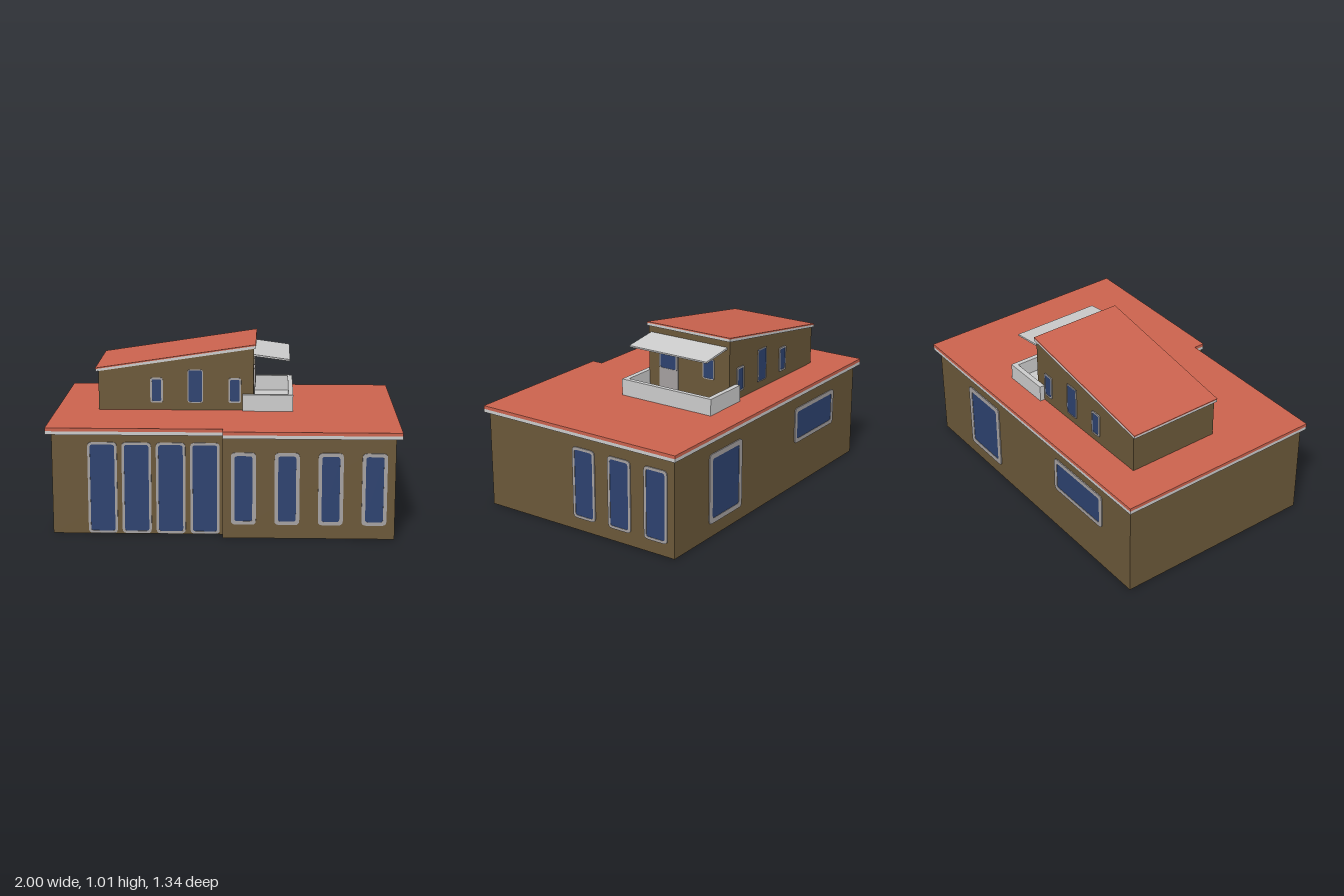
import * as THREE from 'three';

const mat = (name, color, extra = {}) => {
  const m = new THREE.MeshStandardMaterial({ color, ...extra });
  m.name = name;
  return m;
};

export function createModel() {
  const house = new THREE.Group();
  house.name = 'house';
  const wallBrown = mat('wall brown', 0x6b5839, { side: THREE.DoubleSide });
  const roofRed = mat('roof red', 0xcb634e);
  const trimGrey = mat('light grey trim', 0xcccccc);
  const frameGrey = mat('frame grey', 0xa5a1a1);
  const glassBlue = mat('glass blue', 0x2d4270);

  const add = (name, geo, material, parent = house) => {
    const mesh = new THREE.Mesh(geo, material);
    mesh.name = name;
    parent.add(mesh);
    return mesh;
  };
  const polygon = (pts) => new THREE.Shape(pts.map(([x, y]) => new THREE.Vector2(x, y)));
  const extrude = (shape, depth) =>
    new THREE.ExtrudeGeometry(shape, { depth, bevelEnabled: false, curveSegments: 3 });
  // Plan outline given as [x, z], raised from y by h
  const slab = (plan, y, h) =>
    extrude(polygon(plan.map(([x, z]) => [x, -z])), h).rotateX(-Math.PI / 2).translate(0, y, 0);
  // Side outline given as [x, y], running from z0 to z1
  const prism = (side, z0, z1) => extrude(polygon(side), z1 - z0).translate(0, 0, z0);

  const roundRect = (w, h, r, Type = THREE.Shape) => {
    const s = new Type(), a = w / 2, b = h / 2;
    s.moveTo(-a + r, -b);
    s.lineTo(a - r, -b);
    s.quadraticCurveTo(a, -b, a, -b + r);
    s.lineTo(a, b - r);
    s.quadraticCurveTo(a, b, a - r, b);
    s.lineTo(-a + r, b);
    s.quadraticCurveTo(-a, b, -a, b - r);
    s.lineTo(-a, -b + r);
    s.quadraticCurveTo(-a, -b, -a + r, -b);
    return s;
  };

  // Framed window set through a wall; u is along the wall (x, or z on side walls)
  const addWindow = (name, u0, u1, y0, y1, wall, inset, onSide = false) => {
    const g = new THREE.Group();
    g.name = name;
    const w = Math.abs(u1 - u0), h = y1 - y0, r = Math.min(0.025, w * 0.2);
    const ring = roundRect(w, h, r);
    ring.holes.push(roundRect(w - 2 * inset, h - 2 * inset, r * 0.6, THREE.Path));
    add('windowFrame', extrude(ring, 0.012).translate(0, 0, -0.006), frameGrey, g);
    add('windowGlass', new THREE.BoxGeometry(w - inset, h - inset, 0.007), glassBlue, g);
    const u = (u0 + u1) / 2, y = (y0 + y1) / 2;
    if (onSide) {
      g.position.set(wall, y, u);
      g.rotation.y = Math.PI / 2;
    } else g.position.set(u, y, wall);
    house.add(g);
  };

  // Ground floor: thin walls, open underneath, with a step in the front
  const plan = [[-0.965, 0.59], [0, 0.59], [0, 0.655], [0.965, 0.655], [0.965, -0.64], [-0.965, -0.64]];
  plan.forEach(([x0, z0], i) => {
    const [x1, z1] = plan[(i + 1) % plan.length];
    const panel = new THREE.PlaneGeometry(Math.hypot(x1 - x0, z1 - z0), 0.58);
    panel.rotateY(Math.atan2(z0 - z1, x1 - x0)).translate((x0 + x1) / 2, 0.29, (z0 + z1) / 2);
    add('groundFloorWall', panel, wallBrown);
  });

  // Flat roof in two layers
  const roofPlan = [[-1, -0.668], [1, -0.668], [1, 0.667], [0, 0.667], [0, 0.6], [-1, 0.6]];
  add('mainRoofTrim', slab(roofPlan, 0.577, 0.02), trimGrey);
  add('mainRoof', slab(roofPlan, 0.597, 0.019), roofRed);

  // Ground floor windows
  for (let i = 0; i < 4; i++) {
    const a = -0.763 + i * 0.193;
    addWindow('frontGlassDoor', a, a + 0.166, 0.004, 0.535, 0.59, 0.014);
    const b = 0.047 + i * 0.244;
    addWindow('frontWindow', b, b + 0.14, 0.08, 0.497, 0.655, 0.02);
  }
  for (let i = 0; i < 3; i++) {
    const c = 0.05 - i * 0.245;
    addWindow('sideWindow', c, c - 0.155, 0.075, 0.5, 0.965, 0.016, true);
  }
  addWindow('backTallWindow', 0.64, 0.315, 0.08, 0.495, -0.64, 0.03);
  addWindow('backWideWindow', -0.26, -0.712, 0.275, 0.495, -0.64, 0.025);

  // Upper room with a sloping roof
  add('upperRoom', prism([[-0.75, 0.61], [0.165, 0.61], [0.165, 0.988], [-0.75, 0.849]], -0.455, 0.11), wallBrown);
  add('upperRoofTrim', prism([[-0.767, 0.845], [0.178, 0.987], [0.178, 1.003], [-0.767, 0.859]], -0.463, 0.117), trimGrey);
  add('upperRoof', prism([[-0.767, 0.859], [0.178, 1.003], [0.177, 1.01], [-0.768, 0.866]], -0.463, 0.117), roofRed);

  // Upper room windows, the same front and back
  for (const z of [0.11, -0.455]) {
    addWindow('upperWindow', -0.445, -0.37, 0.66, 0.81, z, 0.01);
    addWindow('upperMiddleWindow', -0.225, -0.133, 0.66, 0.86, z, 0.006);
    addWindow('upperWindow', 0.017, 0.092, 0.66, 0.81, z, 0.01);
  }
  addWindow('balconyWindow', -0.273, -0.352, 0.735, 0.86, 0.165, 0.006, true);

  // Balcony door with a glass upper half
  add('balconyDoor', new THREE.BoxGeometry(0.008, 0.24, 0.133), frameGrey).position.set(0.167, 0.735, -0.033);
  addWindow('balconyDoorWindow', 0.033, -0.097, 0.737, 0.857, 0.169, 0.01, true);

  // Balcony parapet, floor and canopy
  const parapet = [[0.1, 0.135], [0.1, 0.105], [0.37, 0.105], [0.37, -0.455], [0.1, -0.455],
    [0.1, -0.485], [0.398, -0.485], [0.398, 0.135]];
  add('balconyParapet', slab(parapet, 0.612, 0.102), trimGrey);
  add('balconyFloor', new THREE.BoxGeometry(0.21, 0.008, 0.57), trimGrey).position.set(0.27, 0.618, -0.175);
  add('balconyCanopy', prism([[0.16, 0.938], [0.376, 0.909], [0.378, 0.919], [0.16, 0.949]], -0.44, 0.095), trimGrey);

  return house;
}
